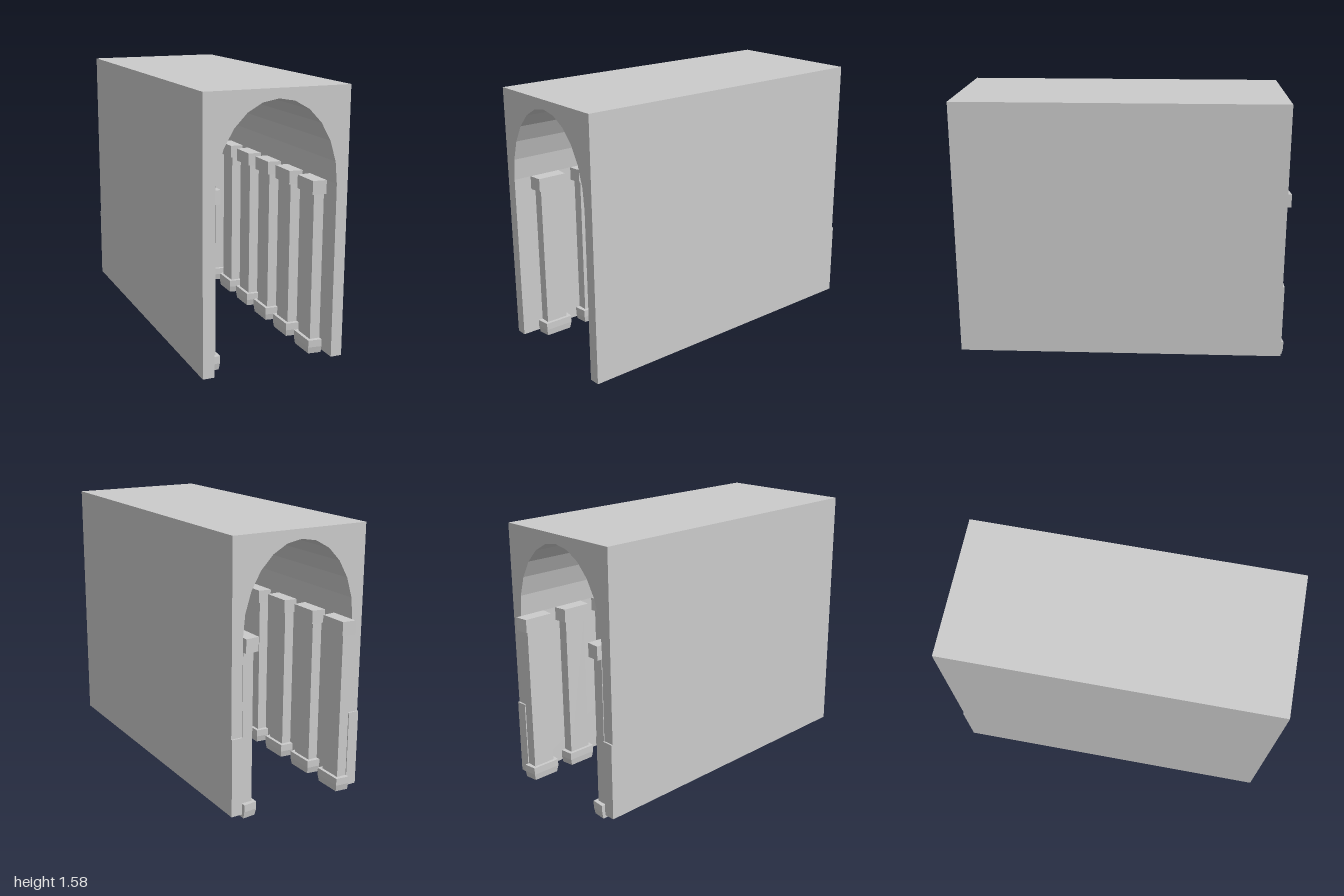
import * as THREE from 'three';

const material = new THREE.MeshStandardMaterial({ color: 0xcccccc, flatShading: true });

const HALF_W = 0.43, INNER = 0.362, FLOOR = 0.023, TOP = 1.585;
const FRONT = 1, BACK = -0.968, SPRING = 1.04, RISE = 0.49;

function addMesh(parent, name, geometry, x = 0, y = 0, z = 0) {
  const mesh = new THREE.Mesh(geometry, material);
  mesh.name = name;
  mesh.position.set(x, y, z);
  parent.add(mesh);
  return mesh;
}

// Block from the wall inwards; narrows towards the passage and towards its foot
function wallBlock(depth, y0, y1, halfZ, inset = 0, foot = 0) {
  const g = new THREE.BoxGeometry(depth, y1 - y0, halfZ * 2);
  const p = g.attributes.position;
  for (let i = 0; i < p.count; i++) {
    const inner = p.getX(i) < 0, low = p.getY(i) < 0;
    const cut = (inner ? inset : 0) + (low ? foot : 0);
    p.setZ(i, Math.sign(p.getZ(i)) * (halfZ - cut));
    if (inner && low) p.setX(i, p.getX(i) + foot * 0.6);
  }
  g.translate(INNER - depth / 2, (y0 + y1) / 2, 0);
  g.computeVertexNormals();
  return g;
}

function createPilaster() {
  const pilaster = new THREE.Group();
  addMesh(pilaster, 'shaft', wallBlock(0.063, 0.08, 0.97, 0.07));
  addMesh(pilaster, 'capital', wallBlock(0.083, 0.96, 1.04, 0.098, 0.008));
  addMesh(pilaster, 'baseUpper', wallBlock(0.083, 0.045, 0.088, 0.098, 0.008));
  addMesh(pilaster, 'baseLower', wallBlock(0.083, 0.005, 0.045, 0.098, 0.008, 0.008));
  return pilaster;
}

export function createModel() {
  const model = new THREE.Group();
  model.name = 'archedPassage';

  // Vaulted block: rectangular outline with an arched doorway cut through
  const outline = new THREE.Shape();
  outline.moveTo(-HALF_W, FLOOR);
  outline.lineTo(-INNER, FLOOR);
  for (let i = 0; i <= 12; i++) {
    const a = Math.PI * (1 - i / 12);
    outline.lineTo(INNER * Math.cos(a), SPRING + RISE * Math.sin(a));
  }
  outline.lineTo(INNER, FLOOR);
  outline.lineTo(HALF_W, FLOOR);
  outline.lineTo(HALF_W, TOP);
  outline.lineTo(-HALF_W, TOP);
  outline.closePath();
  const shell = new THREE.ExtrudeGeometry(outline, { depth: FRONT - BACK, bevelEnabled: false });
  addMesh(model, 'vaultedShell', shell, 0, 0, BACK);

  // Each side: a row of pilasters and a thin plinth on the rear wall end
  for (const side of [1, -1]) {
    const label = side > 0 ? 'left' : 'right';
    for (let i = 0; i < 7; i++) {
      const pilaster = createPilaster();
      pilaster.name = `${label}Pilaster${i + 1}`;
      // a half turn puts the same symmetrical pilaster on the other wall
      pilaster.rotation.y = side > 0 ? 0 : Math.PI;
      pilaster.position.z = 0.793 - i * 0.2825;
      model.add(pilaster);
    }
    const plinth = new THREE.BoxGeometry(HALF_W - INNER, 0.48 - FLOOR, 0.01);
    addMesh(model, `${label}RearPlinth`, plinth,
      side * (HALF_W + INNER) / 2, (0.48 + FLOOR) / 2, BACK - 0.005);
  }
  return model;
}
